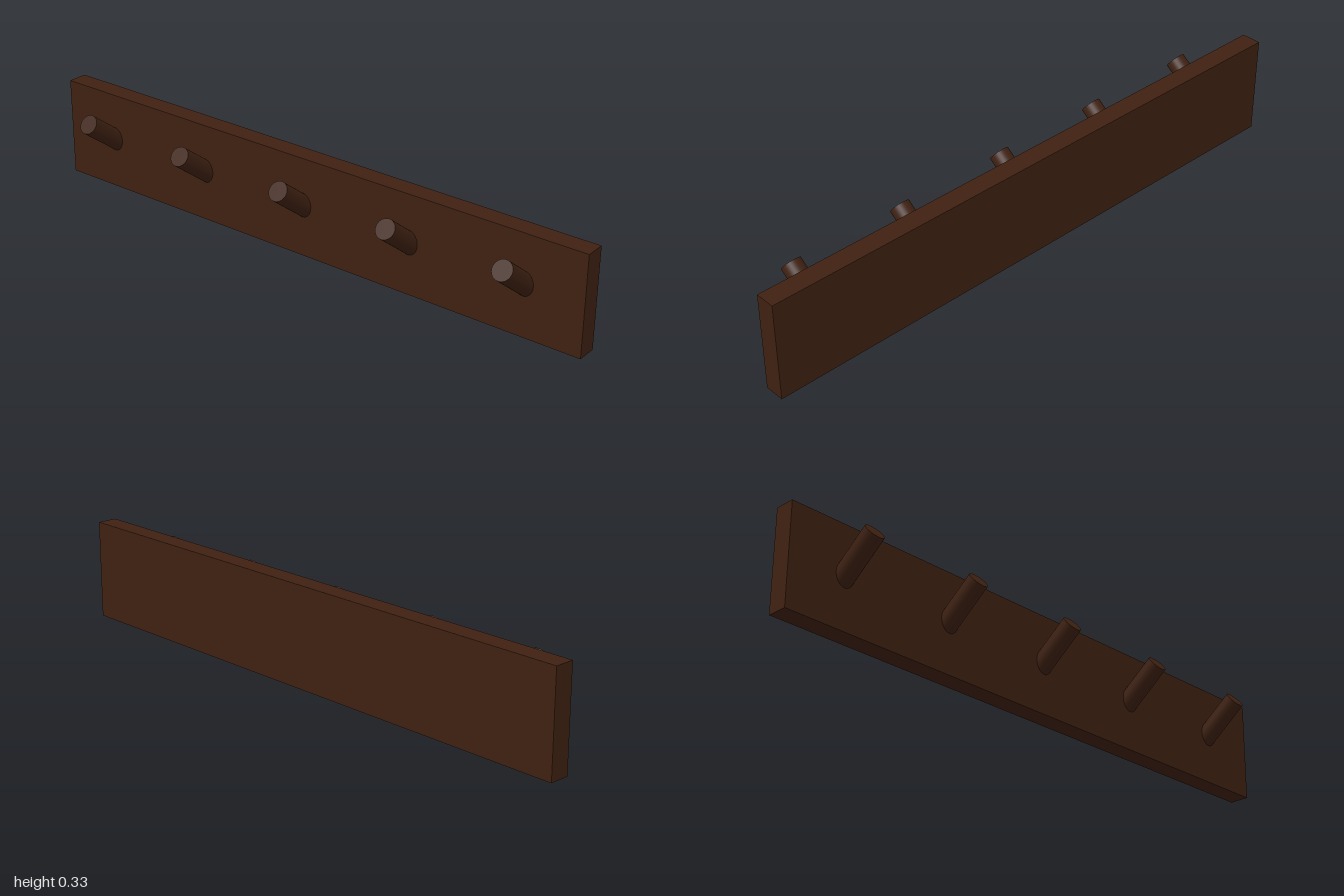
import * as THREE from 'three';

export function createModel() {
  const group = new THREE.Group();
  const wood = new THREE.MeshStandardMaterial({ color: 0x3f2112 });

  // Flat back board
  const board = new THREE.Mesh(new THREE.BoxGeometry(2, 0.333, 0.067), wood);
  board.name = 'backBoard';
  board.position.set(0, 0.1665, -0.0695);
  group.add(board);

  // Five round pegs slanting up and forward, rooted inside the board
  const length = 0.2;
  const tilt = THREE.MathUtils.degToRad(52.5); // from vertical towards +z
  const pegGeometry = new THREE.CylinderGeometry(0.0328, 0.0328, length, 32);
  const tip = new THREE.Vector3(0, 0.2665, 0.0835);
  const axis = new THREE.Vector3(0, Math.cos(tilt), Math.sin(tilt));
  for (let i = -2; i <= 2; i++) {
    const peg = new THREE.Mesh(pegGeometry, wood);
    peg.name = `peg${i + 3}`;
    peg.position.copy(tip).addScaledVector(axis, -length / 2);
    peg.position.x = i * 0.4;
    peg.rotation.x = tilt;
    group.add(peg);
  }
  return group;
}
